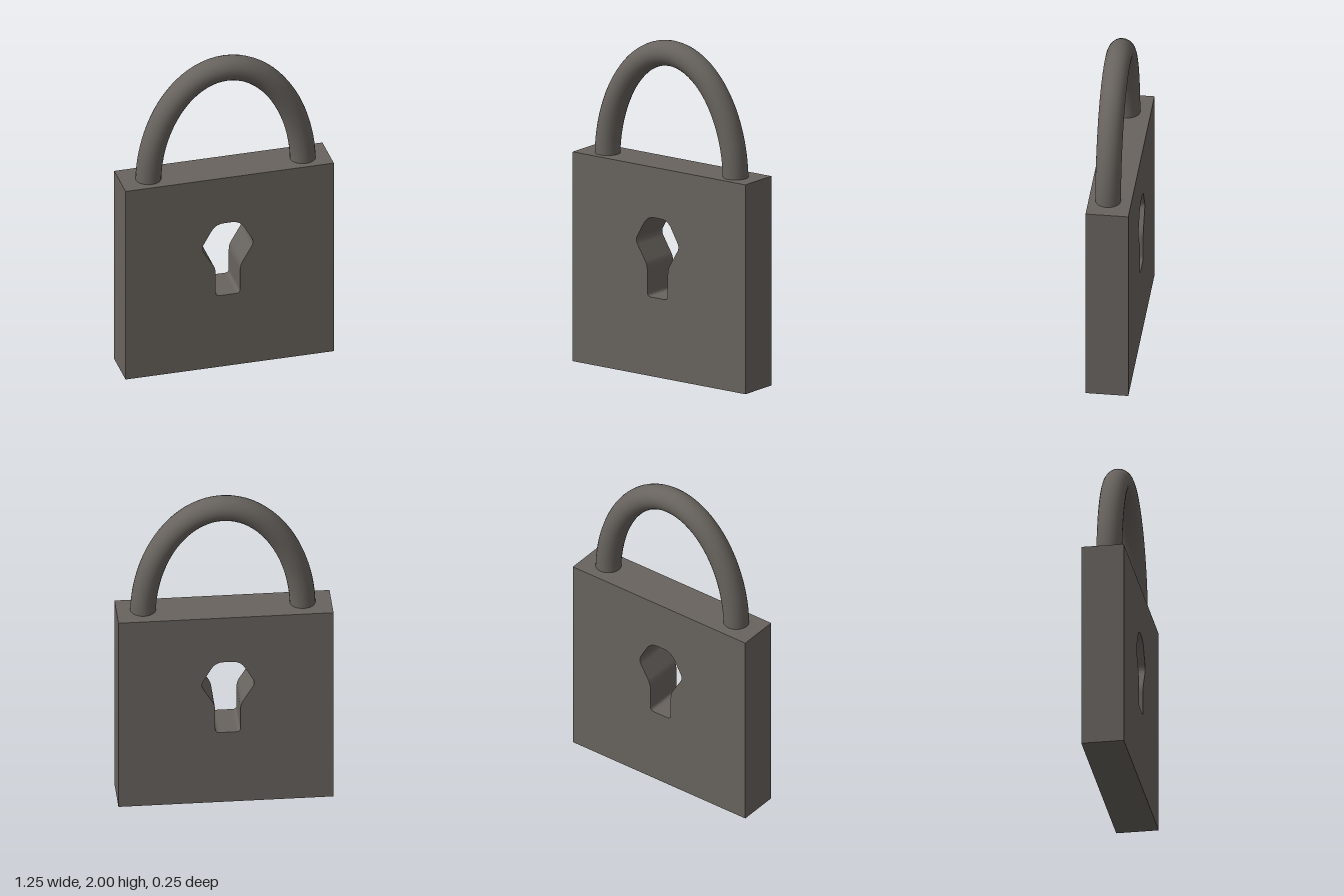
import * as THREE from 'three';

export function createModel() {
  const model = new THREE.Group();
  const iron = new THREE.MeshStandardMaterial({ color: 0x68635e });
  iron.name = 'dark iron';

  // Body: square slab with a keyhole cut right through
  const W = 0.627, H = 1.257, D = 0.25;
  const face = new THREE.Shape();
  face.moveTo(-W, 0).lineTo(W, 0).lineTo(W, H).lineTo(-W, H).closePath();

  // Keyhole outline, each corner rounded by the given amount
  const corners = [
    [-0.085, 0.475, 0.025], [-0.085, 0.66, 0.03], [-0.172, 0.803, 0.03], [-0.085, 0.955, 0.05],
    [0.062, 0.955, 0.05], [0.148, 0.803, 0.03], [0.063, 0.66, 0.03], [0.063, 0.475, 0.025],
  ].map(([x, y, r]) => ({ p: new THREE.Vector2(x, y), r }));
  const keyhole = new THREE.Path();
  corners.forEach(({ p, r }, i) => {
    const prev = corners[(i + 7) % 8].p, next = corners[(i + 1) % 8].p;
    const a = p.clone().add(prev.clone().sub(p).setLength(r));
    const b = p.clone().add(next.clone().sub(p).setLength(r));
    if (i === 0) keyhole.moveTo(a.x, a.y);
    else keyhole.lineTo(a.x, a.y);
    keyhole.quadraticCurveTo(p.x, p.y, b.x, b.y);
  });
  keyhole.closePath();
  face.holes.push(keyhole);

  const bodyGeo = new THREE.ExtrudeGeometry(face, { depth: D, bevelEnabled: false, curveSegments: 5 });
  bodyGeo.translate(0, 0, -D / 2);
  const body = new THREE.Mesh(bodyGeo, iron);
  body.name = 'body';
  model.add(body);

  // Shackle: round bar bent into a half ellipse, its ends sunk in the body
  const points = [];
  for (let i = 0; i <= 24; i++) {
    const t = Math.PI * (1 - i / 24);
    points.push(new THREE.Vector3(0.006 + 0.466 * Math.cos(t), 1.22 + 0.705 * Math.sin(t), 0.012));
  }
  const path = new THREE.CatmullRomCurve3(points);
  const shackle = new THREE.Mesh(new THREE.TubeGeometry(path, 48, 0.075, 24), iron);
  shackle.name = 'shackle';
  model.add(shackle);

  return model;
}
